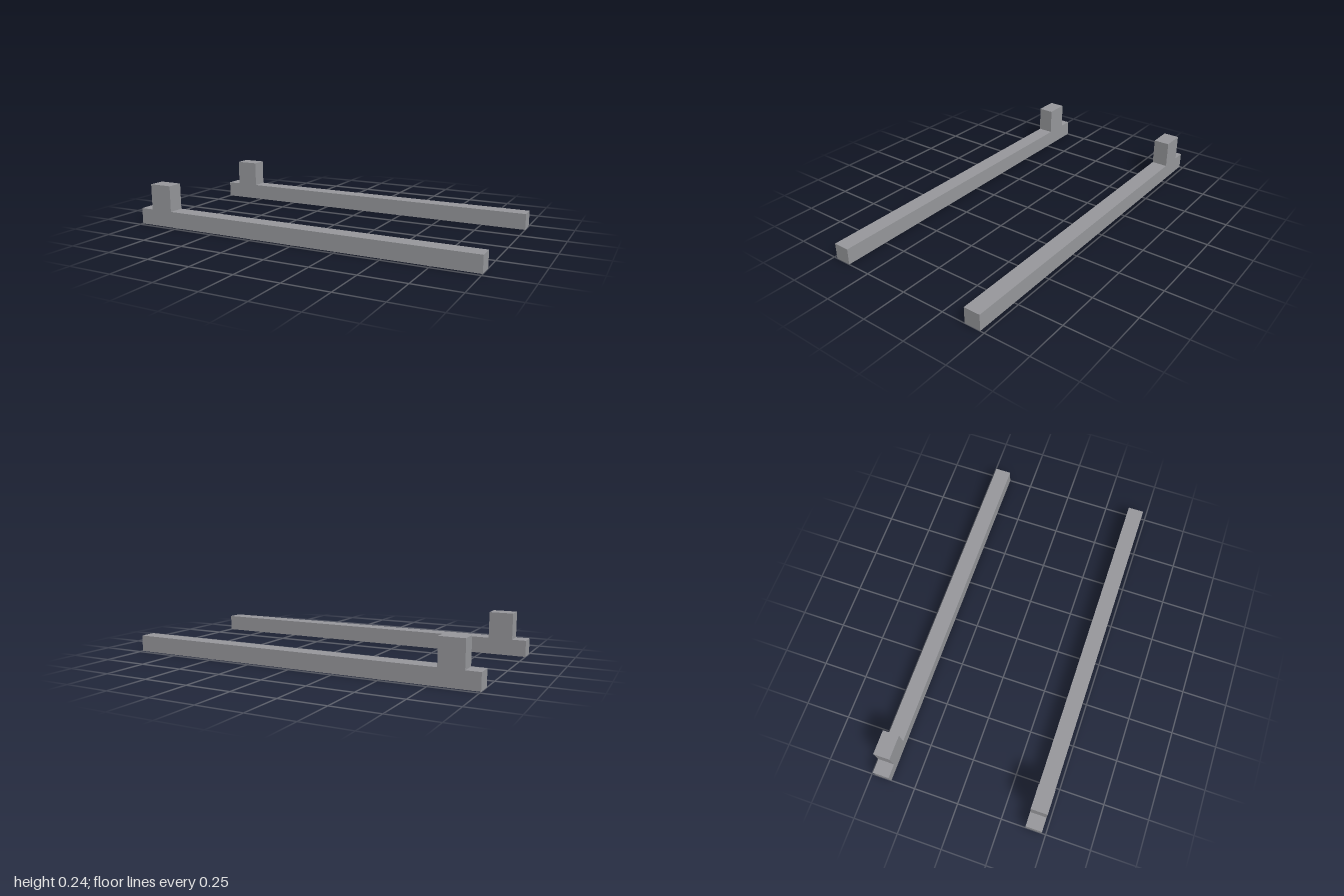
import * as THREE from 'three';

export function createModel() {
  const model = new THREE.Group();
  model.name = 'railPair';
  const greyMetal = new THREE.MeshStandardMaterial({ color: 0x97989c });
  greyMetal.name = 'grey metal';

  const width = 0.091, inner = 0.386;

  // Side profile of a long rail with an upright stop block near its right end
  const profile = new THREE.Shape([
    [-1, 0], [1, 0], [1, 0.091], [-0.79, 0.091],
    [-0.79, 0.238], [-0.923, 0.238], [-0.923, 0.091], [-1, 0.091],
  ].map(([x, y]) => new THREE.Vector2(x, y)));
  const geometry = new THREE.ExtrudeGeometry(profile, { depth: width, bevelEnabled: false });

  // Front and back rails
  for (const [name, z] of [['frontRail', inner], ['backRail', -inner - width]]) {
    const rail = new THREE.Mesh(geometry, greyMetal);
    rail.name = name;
    rail.position.z = z;
    model.add(rail);
  }
  return model;
}
